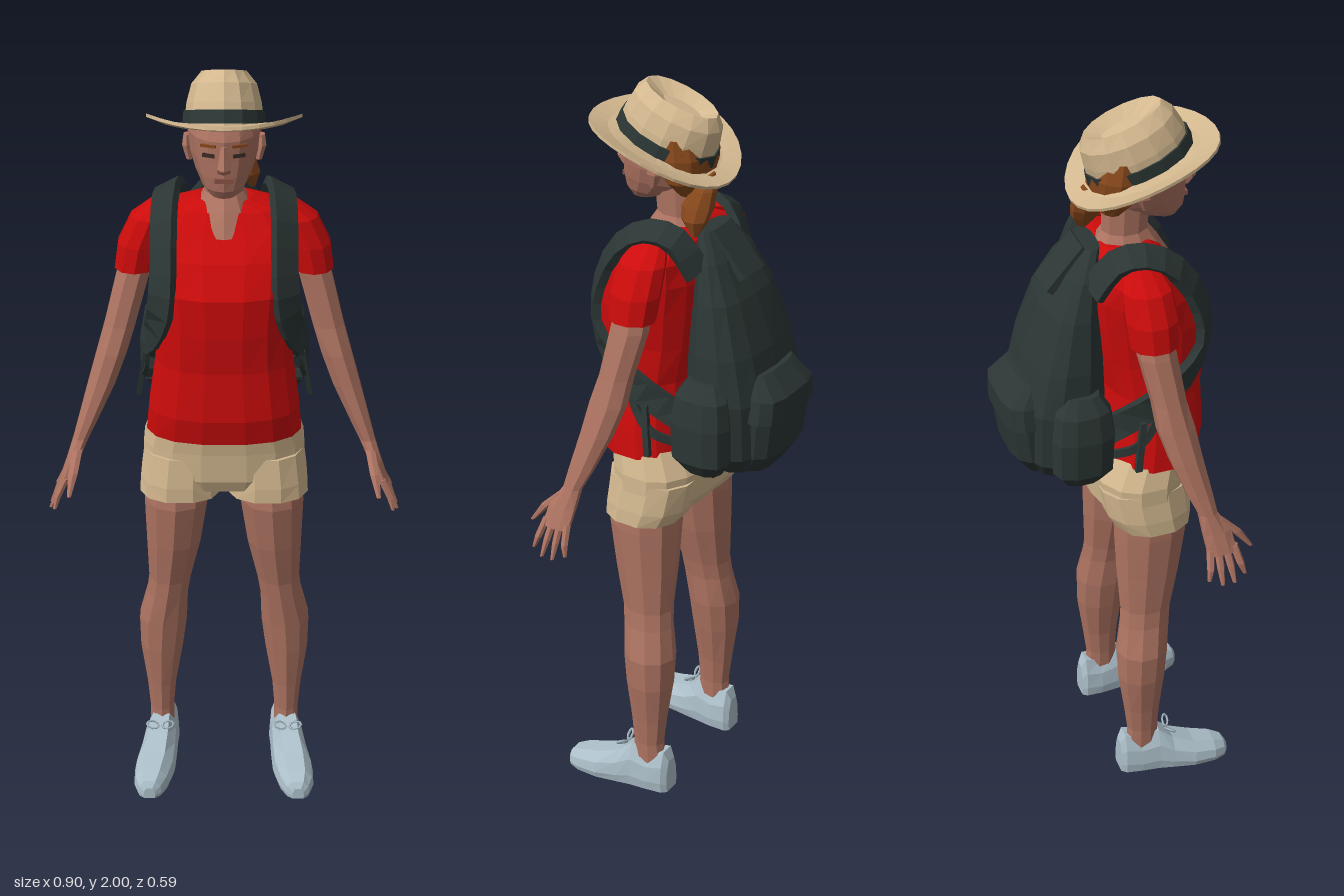
import * as THREE from 'three';

const mat = (name, color) => {
  const m = new THREE.MeshStandardMaterial({ color });
  m.name = name;
  return m;
};
const V = (x, y, z) => new THREE.Vector3(x, y, z);

// Closed, flat-faced skin over a list of point loops; winding is fixed by signed volume.
function skinLoops(loops) {
  const n = loops[0].length, tris = [];
  for (let i = 0; i < loops.length - 1; i++) {
    for (let j = 0; j < n; j++) {
      const k = (j + 1) % n;
      const a = loops[i][j], b = loops[i][k], c = loops[i + 1][j], d = loops[i + 1][k];
      tris.push([a, c, b], [b, c, d]);
    }
  }
  const first = loops[0], last = loops[loops.length - 1];
  for (let j = 1; j < n - 1; j++) {
    tris.push([first[0], first[j], first[j + 1]], [last[0], last[j + 1], last[j]]);
  }
  let volume = 0;
  const o = loops[0][0];
  for (const [a, b, c] of tris) {
    const p = a.clone().sub(o), q = b.clone().sub(o), r = c.clone().sub(o);
    volume += p.dot(q.cross(r));
  }
  const pts = tris.flatMap(([a, b, c]) => (volume < 0 ? [a, c, b] : [a, b, c]));
  const g = new THREE.BufferGeometry().setFromPoints(pts);
  g.computeVertexNormals();
  return g;
}

// Horizontal rounded sections: [centreX, y, halfWidth, frontZ, backZ]
function loft(rows, sides = 12, square = 1, s = 1) {
  const pow = (v) => Math.sign(v) * Math.abs(v) ** square;
  return skinLoops(rows.map(([x, y, w, zf, zb]) => Array.from({ length: sides }, (_, j) => {
    const a = ((j + 0.5) / sides) * Math.PI * 2;
    return V(s * (x + w * pow(Math.cos(a))), y, (zf + zb) / 2 + ((zf - zb) / 2) * pow(Math.sin(a)));
  })));
}

// Limb with round sections: [x, y, z, radiusX, radiusZ]
const limb = (rows, s, sides = 8) =>
  loft(rows.map(([x, y, z, rx, rz = rx]) => [x, y, rx, z + rz, z - rz]), sides, 1, s);

// Flat webbing that follows a path and faces away from the torso
function webbing(points, width, thick, s) {
  const curve = new THREE.CatmullRomCurve3(points.map(([x, y, z]) => V(x, y, z)));
  const loops = [];
  for (let i = 0; i <= 16; i++) {
    const p = curve.getPoint(i / 16), t = curve.getTangent(i / 16);
    const out = p.clone().sub(V(0.05, Math.min(p.y, 1.5), 0.07)).normalize();
    const w = t.clone().cross(out).normalize(), n = w.clone().cross(t).normalize();
    loops.push([[1, 1], [1, -1], [-1, -1], [-1, 1]].map(([u, v]) => {
      const q = p.clone().addScaledVector(w, (u * width) / 2).addScaledVector(n, (v * thick) / 2);
      q.x *= s;
      return q;
    }));
  }
  return skinLoops(loops);
}

export function createModel() {
  const skin = mat('skin', 0xad7361), red = mat('red cloth', 0xcc0b0b), tan = mat('tan cloth', 0xd3b88f);
  const dark = mat('dark canvas', 0x2b3634), shoe = mat('pale shoe', 0xadc0ca);
  const brown = mat('auburn hair', 0x87481c), lip = mat('lips', 0x8a4f45), ink = mat('eye', 0x3a2a26);

  const model = new THREE.Group();
  model.name = 'hiker';
  const add = (name, geo, m, parent = model) => {
    const mesh = new THREE.Mesh(geo, m);
    mesh.name = name;
    parent.add(mesh);
    return mesh;
  };
  const box = (name, size, pos, m, rot = [0, 0, 0]) => {
    const b = add(name, new THREE.BoxGeometry(...size), m);
    b.position.set(...pos);
    b.rotation.set(...rot);
  };

  // Shirt, shorts and neck
  add('shirt', loft([
    [0, 1.05, 0.2, 0.225, -0.035], [0, 1.12, 0.193, 0.24, -0.03], [0, 1.25, 0.174, 0.235, -0.02],
    [0, 1.35, 0.17, 0.245, -0.04], [0, 1.45, 0.178, 0.247, -0.055], [0, 1.53, 0.185, 0.205, -0.06],
    [0, 1.59, 0.187, 0.155, -0.05], [0, 1.63, 0.15, 0.125, -0.04], [0, 1.65, 0.07, 0.1, -0.02],
  ], 16, 0.8), red);
  add('shortsHips', loft([
    [0, 0.885, 0.19, 0.17, -0.04], [0, 0.92, 0.213, 0.185, -0.062], [0, 1, 0.21, 0.19, -0.07],
    [0, 1.075, 0.188, 0.2, -0.03],
  ], 16, 0.8), tan);
  add('neck', loft([
    [0, 1.58, 0.09, 0.168, -0.02], [0, 1.635, 0.068, 0.135, -0.035], [0, 1.67, 0.05, 0.11, -0.01],
    [0, 1.78, 0.052, 0.12, -0.01],
  ], 10), skin);

  // Head and face
  add('head', loft([
    [0, 1.693, 0.03, 0.185, 0.12], [0, 1.715, 0.052, 0.2, 0.06], [0, 1.75, 0.07, 0.205, 0.0],
    [0, 1.79, 0.083, 0.205, -0.03], [0, 1.84, 0.088, 0.207, -0.035], [0, 1.9, 0.075, 0.18, 0],
  ], 14), skin);
  add('nose', loft([[0, 1.765, 0.018, 0.222, 0.17], [0, 1.778, 0.018, 0.236, 0.17],
    [0, 1.83, 0.008, 0.212, 0.18]], 6), skin);
  box('mouth', [0.045, 0.012, 0.008], [0, 1.744, 0.202], lip);
  add('hair', loft([
    [0, 1.73, 0.05, 0.04, -0.02], [0, 1.77, 0.086, 0.075, -0.04], [0, 1.83, 0.094, 0.1, -0.045],
    [0, 1.88, 0.086, 0.1, -0.03],
  ], 12), brown);
  add('ponytail', limb([
    [0.01, 1.79, -0.035, 0.02], [0.03, 1.755, -0.04, 0.03], [0.045, 1.715, -0.03, 0.035, 0.042],
    [0.06, 1.685, -0.03, 0.03, 0.036], [0.07, 1.645, -0.035, 0.008],
  ], 1), brown);

  // Tilted sun hat
  const hat = new THREE.Group();
  hat.name = 'hat';
  hat.position.set(0, 1.838, 0.095);
  hat.rotation.x = -0.34;
  model.add(hat);
  const brimLoop = (r, y) => Array.from({ length: 28 }, (_, j) => {
    const a = (j / 28) * Math.PI * 2, c = Math.cos(a);
    return V(r * 0.187 * c, y + (r - 0.5) * (0.07 * c * c - 0.012), r * 0.196 * Math.sin(a));
  });
  add('brim', skinLoops([brimLoop(0.45, 0.012), brimLoop(0.75, 0.004), brimLoop(1, 0.006),
    brimLoop(1, -0.002), brimLoop(0.75, -0.006), brimLoop(0.45, 0.0)]), tan, hat);
  add('crown', loft([
    [0, 0, 0.098, 0.132, -0.138], [0, 0.06, 0.092, 0.125, -0.135], [0, 0.105, 0.08, 0.115, -0.13],
    [0, 0.135, 0.055, 0.095, -0.11], [0, 0.112, 0.022, 0.04, -0.07],
  ], 14), tan, hat);
  add('hatBand', loft([[0, 0.01, 0.102, 0.136, -0.142], [0, 0.042, 0.099, 0.132, -0.14]], 14), dark, hat);

  // Backpack
  add('backpack', loft([
    [0, 1.045, 0.12, -0.07, -0.22], [0, 1.1, 0.165, -0.03, -0.25], [0, 1.25, 0.172, -0.025, -0.25],
    [0, 1.37, 0.163, -0.03, -0.22], [0, 1.5, 0.137, -0.04, -0.172], [0, 1.59, 0.105, -0.04, -0.12],
    [0, 1.655, 0.06, -0.025, -0.07],
  ], 14, 0.75), dark);
  add('rearPocket', loft([
    [0, 1.04, 0.08, -0.12, -0.235], [0, 1.1, 0.115, -0.14, -0.275], [0, 1.21, 0.12, -0.14, -0.29],
    [0, 1.26, 0.11, -0.14, -0.288], [0, 1.31, 0.085, -0.14, -0.24],
  ], 12, 0.65), dark);
  add('pocketFlap', loft([[0, 1.205, 0.128, -0.15, -0.295], [0, 1.265, 0.118, -0.15, -0.295],
    [0, 1.32, 0.09, -0.15, -0.245]], 12, 0.6), dark);
  box('topFlap', [0.09, 0.14, 0.02], [0, 1.6, -0.112], dark, [0.72, 0, 0]);

  for (const s of [1, -1]) {
    const side = s > 0 ? 'left' : 'right';
    const part = (name, geo, m) => add(side + name, geo, m);

    // Sleeve, arm and hand
    part('Sleeve', limb([[0.14, 1.645, 0.04, 0.03, 0.04], [0.182, 1.6, 0.042, 0.05, 0.062],
      [0.21, 1.53, 0.045, 0.056, 0.066], [0.222, 1.465, 0.048, 0.053, 0.062]], s, 10), red);
    part('Arm', limb([[0.2, 1.54, 0.045, 0.042], [0.23, 1.44, 0.05, 0.044, 0.05], [0.262, 1.32, 0.07, 0.042, 0.045],
      [0.283, 1.25, 0.082, 0.041, 0.05], [0.31, 1.17, 0.1, 0.037, 0.044], [0.345, 1.08, 0.125, 0.027, 0.034],
      [0.365, 1.03, 0.14, 0.021, 0.026], [0.385, 0.98, 0.158, 0.017, 0.04],
      [0.408, 0.925, 0.167, 0.013, 0.042]], s), skin);
    for (let f = 0; f < 4; f++) {
      const u = f - 1.5, drop = 0.012 * Math.abs(u);
      part('Finger' + (f + 1), limb([[0.402, 0.94, 0.167 + u * 0.021, 0.011], [0.425, 0.893, 0.17 + u * 0.027, 0.01],
        [0.45 - drop, 0.845 + drop, 0.172 + u * 0.032, 0.005]], s, 6), skin);
    }
    part('Thumb', limb([[0.372, 1.01, 0.165, 0.014], [0.382, 0.965, 0.212, 0.014],
      [0.392, 0.915, 0.25, 0.006]], s, 6), skin);

    // Shorts leg, bare leg
    part('ShortsLeg', loft([[0.113, 0.86, 0.108, 0.188, -0.022], [0.113, 0.9, 0.106, 0.188, -0.045],
      [0.108, 0.98, 0.1, 0.18, -0.06]], 12, 0.85, s), tan);
    part('Leg', loft([[0.122, 0.92, 0.085, 0.17, -0.02], [0.125, 0.83, 0.086, 0.18, -0.02],
      [0.133, 0.7, 0.074, 0.16, -0.015], [0.145, 0.58, 0.058, 0.135, -0.008], [0.152, 0.53, 0.057, 0.13, -0.012],
      [0.165, 0.44, 0.067, 0.12, -0.025], [0.17, 0.35, 0.06, 0.112, -0.022], [0.172, 0.23, 0.041, 0.1, -0.005],
      [0.172, 0.15, 0.034, 0.095, 0.005], [0.172, 0.08, 0.034, 0.1, 0]], 10, 1, s), skin);

    // Shoe built from upright sections: [z, centreX, halfWidth, height]
    part('Shoe', skinLoops([[-0.018, 0.166, 0.026, 0.1], [-0.005, 0.167, 0.038, 0.13], [0.04, 0.17, 0.044, 0.118],
      [0.09, 0.175, 0.046, 0.135], [0.13, 0.181, 0.05, 0.1], [0.19, 0.19, 0.055, 0.076], [0.25, 0.198, 0.047, 0.062],
      [0.282, 0.201, 0.032, 0.048], [0.293, 0.202, 0.016, 0.032]].map(([z, x, w, h]) =>
      [[-0.9, 0], [0.9, 0], [1, 0.25], [0.9, 0.65], [0.5, 1], [-0.5, 1], [-0.9, 0.65], [-1, 0.25]]
        .map(([u, v]) => V(s * (x + u * w), v * h, z)))), shoe);
    for (const [x, tilt] of [[0.155, 0.5], [0.197, -0.5]]) {
      const bow = add(side + 'LaceBow', new THREE.TorusGeometry(0.018, 0.004, 4, 8), shoe);
      bow.position.set(s * x, 0.122, 0.125);
      bow.rotation.set(-0.9, s * tilt, 0);
      bow.scale.y = 0.6;
    }

    // Side pocket, shoulder strap and loose webbing
    part('SidePocket', loft([[0.16, 1.06, 0.035, -0.07, -0.17], [0.172, 1.1, 0.05, -0.04, -0.2],
      [0.172, 1.2, 0.051, -0.035, -0.2], [0.165, 1.27, 0.045, -0.045, -0.19],
      [0.15, 1.31, 0.03, -0.07, -0.16]], 10, 0.8, s), dark);
    part('ShoulderStrap', webbing([[0.11, 1.57, -0.07], [0.13, 1.65, -0.02], [0.142, 1.662, 0.05], [0.147, 1.61, 0.135],
      [0.148, 1.5, 0.195], [0.157, 1.4, 0.202], [0.178, 1.31, 0.14], [0.19, 1.25, 0.04],
      [0.165, 1.19, -0.06]], 0.068, 0.022, s), dark);
    part('LowerWebbing', webbing([[0.188, 1.3, 0.09], [0.196, 1.2, 0.06], [0.204, 1.15, 0.01],
      [0.17, 1.12, -0.06]], 0.022, 0.01, s), dark);
    part('LooseEnd', limb([[0.2, 1.22, 0.03, 0.009, 0.012], [0.222, 1.09, 0.01, 0.009, 0.012]], s, 4), dark);

    // Eye, brow and ear
    box(side + 'Eye', [0.03, 0.009, 0.006], [s * 0.036, 1.805, 0.194], ink, [0, s * 0.35, 0]);
    box(side + 'Brow', [0.038, 0.007, 0.006], [s * 0.037, 1.829, 0.195], brown, [0, s * 0.35, 0]);
    part('Ear', limb([[0.084, 1.755, 0.075, 0.008, 0.01], [0.091, 1.79, 0.068, 0.012, 0.02],
      [0.09, 1.815, 0.065, 0.009, 0.014]], s, 6), skin);
  }
  return model;
}
